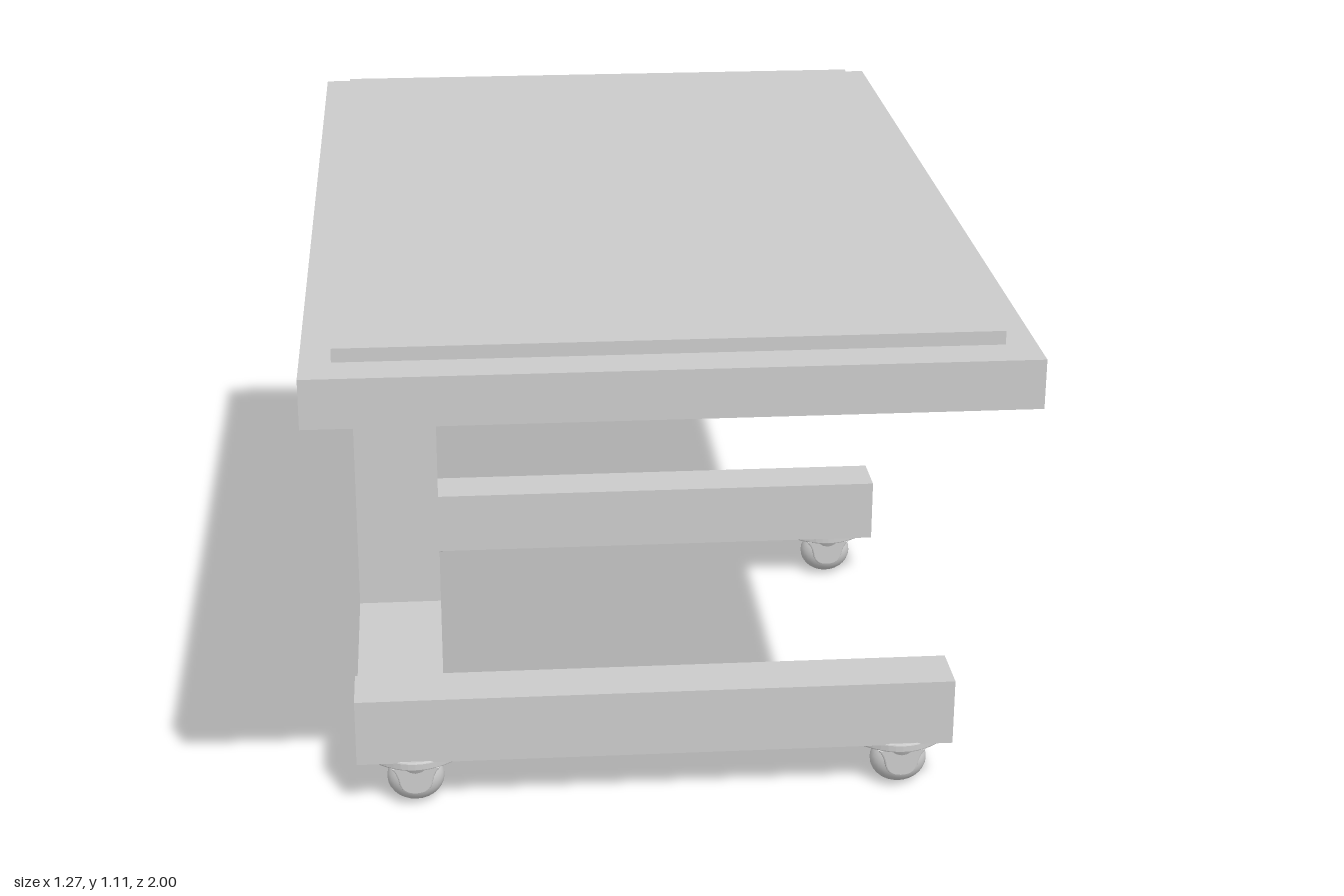
import * as THREE from 'three';

const grey = new THREE.MeshStandardMaterial({ color: 0xcccccc });

function add(parent, name, geometry, x = 0, y = 0, z = 0) {
  const mesh = new THREE.Mesh(geometry, grey);
  mesh.name = name;
  mesh.position.set(x, y, z);
  parent.add(mesh);
  return mesh;
}

// Box given by its lower and upper corners
function block(parent, name, [x0, y0, z0], [x1, y1, z1]) {
  return add(parent, name, new THREE.BoxGeometry(x1 - x0, y1 - y0, z1 - z0),
    (x0 + x1) / 2, (y0 + y1) / 2, (z0 + z1) / 2);
}

// Swivel caster: mounting plate, swivel collar, two fork cheeks, barrel wheel
function makeCaster(name) {
  const caster = new THREE.Group();
  caster.name = name;

  // Lozenge-shaped plate with rounded tips
  const plate = new THREE.Shape();
  plate.moveTo(-0.07, -0.025);
  plate.quadraticCurveTo(0, -0.085, 0.07, -0.025);
  plate.quadraticCurveTo(0.11, 0, 0.07, 0.025);
  plate.quadraticCurveTo(0, 0.085, -0.07, 0.025);
  plate.quadraticCurveTo(-0.11, 0, -0.07, -0.025);
  const plateGeo = new THREE.ExtrudeGeometry(plate, {
    depth: 0.012, bevelEnabled: true, bevelSize: 0.003, bevelThickness: 0.003, bevelSegments: 2, curveSegments: 10,
  }).rotateX(-Math.PI / 2);
  add(caster, 'casterPlate', plateGeo, 0, 0.093, 0);

  const collar = new THREE.CylinderGeometry(0.054, 0.046, 0.016, 28);
  add(caster, 'casterCollar', collar, 0, 0.085, 0);

  // Cheeks taper down to a rounded axle end
  const cheek = new THREE.Shape();
  cheek.moveTo(-0.045, 0.09);
  cheek.quadraticCurveTo(-0.034, 0.08, -0.03, 0.058);
  cheek.quadraticCurveTo(-0.026, 0.035, 0, 0.035);
  cheek.quadraticCurveTo(0.026, 0.035, 0.03, 0.058);
  cheek.quadraticCurveTo(0.034, 0.08, 0.045, 0.09);
  const cheekGeo = new THREE.ExtrudeGeometry(cheek, {
    depth: 0.008, bevelEnabled: true, bevelSize: 0.003, bevelThickness: 0.003, bevelSegments: 2, curveSegments: 8,
  });
  for (const side of [-1, 1]) add(caster, 'casterCheek', cheekGeo, 0, 0, side * 0.04 - 0.004);

  // Rounded wheel, axle along z
  const wheel = new THREE.SphereGeometry(1, 28, 18).rotateX(Math.PI / 2).scale(0.057, 0.05, 0.042);
  add(caster, 'casterWheel', wheel, 0, 0.052, 0);
  return caster;
}

export function createModel() {
  const table = new THREE.Group();
  table.name = 'rollingTable';

  // Top with raised panel
  block(table, 'tabletop', [-0.635, 1.0, -1], [0.635, 1.09, 1]);
  block(table, 'topPanel', [-0.58, 1.09, -0.92], [0.58, 1.115, 0.92]);

  // Offset column on the crossbar
  block(table, 'column', [-0.575, 0.23, -0.07], [-0.405, 1.0, 0.07]);
  block(table, 'crossbar', [-0.575, 0.107, -0.48], [-0.405, 0.236, 0.425]);

  // Front leg, square ends
  block(table, 'frontLeg', [-0.58, 0.105, 0.42], [0.605, 0.242, 0.535]);

  // Rear leg, its column end softened at the outer corner
  const rear = new THREE.Shape();
  rear.moveTo(-0.585, -0.475);
  rear.lineTo(-0.585, -0.55);
  rear.quadraticCurveTo(-0.585, -0.585, -0.55, -0.585);
  rear.lineTo(0.605, -0.585);
  rear.lineTo(0.605, -0.475);
  const rearGeo = new THREE.ExtrudeGeometry(rear, { depth: 0.137, bevelEnabled: false, curveSegments: 6 })
    .rotateX(Math.PI / 2);
  add(table, 'rearLeg', rearGeo, 0, 0.242, 0);

  // Four casters
  for (const [end, x] of [['Column', -0.465], ['Free', 0.505]]) {
    for (const [leg, z] of [['front', 0.485], ['rear', -0.535]]) {
      const caster = makeCaster(leg + end + 'Caster');
      caster.position.set(x, 0, z);
      table.add(caster);
    }
  }
  return table;
}
